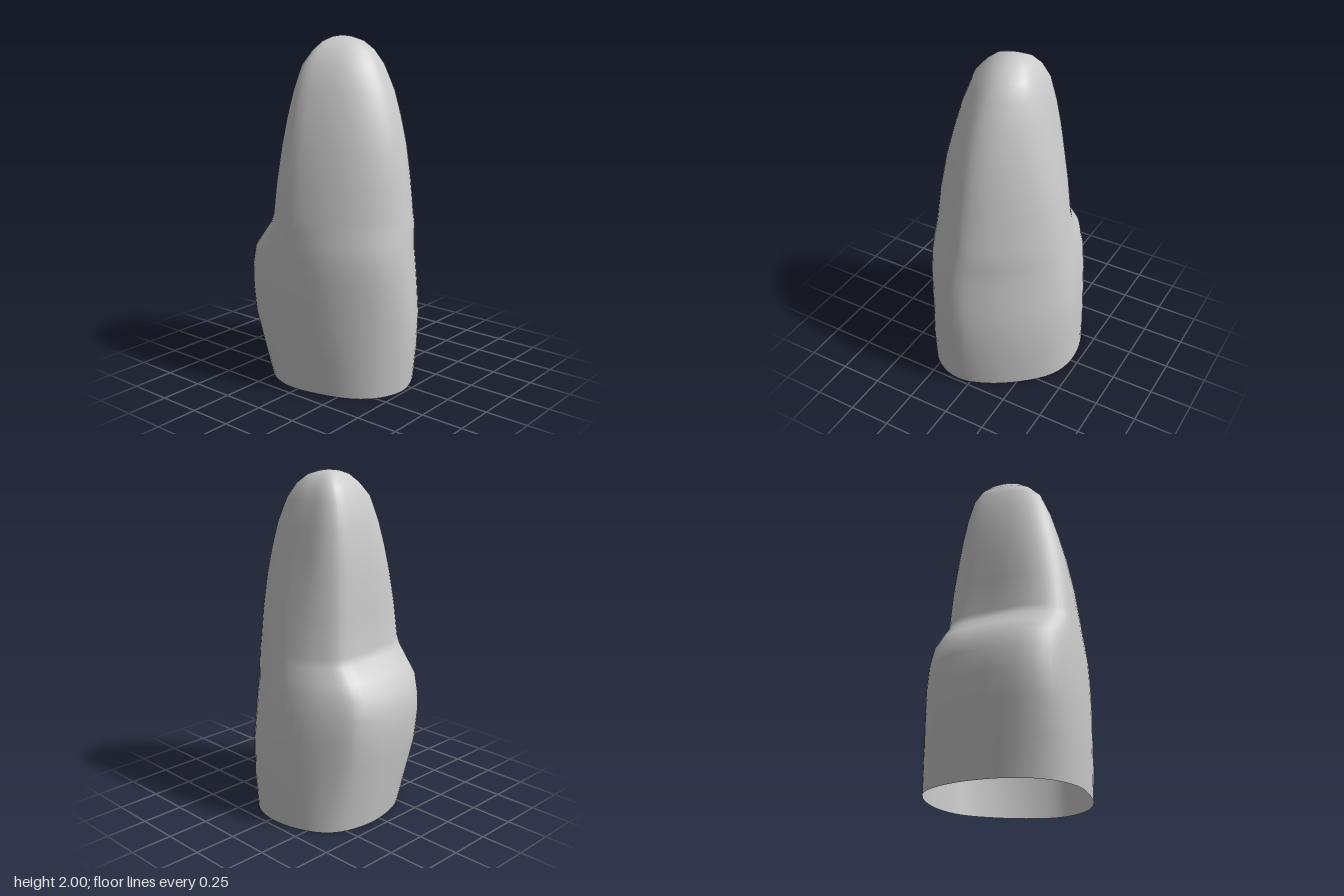
import * as THREE from 'three';

const SIDES = 60;

// Plan outlines [x, z], all in the same point order.
const OUTLINES = [
  // 0: rounded foot
  [[0.24, -0.41], [0.35, -0.34], [0.43, -0.19], [0.455, 0], [0.41, 0.16], [0.27, 0.315], [0.08, 0.44], [-0.08, 0.485],
    [-0.23, 0.44], [-0.335, 0.335], [-0.41, 0.14], [-0.435, -0.08], [-0.36, -0.26], [-0.21, -0.38], [0.04, -0.44]],
  // 1: swollen base
  [[0.25, -0.48], [0.345, -0.375], [0.43, -0.2], [0.465, 0], [0.43, 0.15], [0.28, 0.335], [0.08, 0.47], [-0.08, 0.52],
    [-0.22, 0.465], [-0.34, 0.33], [-0.43, 0.13], [-0.465, -0.14], [-0.42, -0.345], [-0.27, -0.46], [0.05, -0.52]],
  // 2: slimmer upper part with a flat back
  [[0.2, -0.32], [0.3, -0.22], [0.36, -0.1], [0.385, 0.04], [0.34, 0.18], [0.22, 0.33], [0.06, 0.44], [-0.06, 0.47],
    [-0.18, 0.42], [-0.3, 0.3], [-0.4, 0.11], [-0.44, -0.08], [-0.4, -0.2], [-0.27, -0.285], [0, -0.32]],
  // 3: rounded tip
  [[0.13, -0.215], [0.18, -0.16], [0.2, -0.06], [0.207, 0.04], [0.185, 0.125], [0.12, 0.19], [0.05, 0.22], [-0.02, 0.22],
    [-0.09, 0.185], [-0.155, 0.12], [-0.21, 0.02], [-0.242, -0.09], [-0.205, -0.145], [-0.12, -0.195], [0.02, -0.225]],
];

// Height, x range, z range, position in the sequence of outlines.
const RINGS = [
  [0, -0.435, 0.457, -0.44, 0.485, 0],
  [0.2, -0.452, 0.463, -0.47, 0.51, 0.5],
  [0.4, -0.462, 0.462, -0.5, 0.52, 1],
  [0.55, -0.465, 0.45, -0.517, 0.517, 1],
  [0.68, -0.462, 0.436, -0.515, 0.51, 1],
  [0.79, -0.457, 0.418, -0.488, 0.5, 1.08],
  [0.87, -0.45, 0.405, -0.42, 0.49, 1.4],
  [0.95, -0.445, 0.393, -0.345, 0.48, 1.9],
  [1.0, -0.44, 0.385, -0.325, 0.47, 2],
  [1.2, -0.417, 0.355, -0.315, 0.44, 2.2],
  [1.4, -0.38, 0.313, -0.302, 0.402, 2.45],
  [1.55, -0.343, 0.28, -0.287, 0.357, 2.65],
  [1.7, -0.3, 0.245, -0.263, 0.302, 2.85],
  [1.84, -0.243, 0.207, -0.225, 0.225, 3],
  [1.92, -0.17, 0.165, -0.18, 0.162, 3],
  [1.97, -0.105, 0.12, -0.13, 0.09, 3],
  [1.992, -0.04, 0.07, -0.085, 0.02, 3],
];
const APEX = [0.02, 2, -0.035];

// Smooth closed outline, scaled to a unit square.
function unitOutline(points) {
  const curve = new THREE.CatmullRomCurve3(points.map(([x, z]) => new THREE.Vector3(x, 0, z)), true);
  const samples = curve.getPoints(SIDES).slice(0, SIDES);
  const box = new THREE.Box3().setFromPoints(samples);
  const size = box.getSize(new THREE.Vector3());
  return samples.map((p) => [(p.x - box.min.x) / size.x, (p.z - box.min.z) / size.z]);
}

export function createModel() {
  const { lerp } = THREE.MathUtils;
  const outlines = OUTLINES.map(unitOutline);
  const positions = [];
  const index = [];

  // Stacked cross-sections
  for (const [y, x0, x1, z0, z1, shape] of RINGS) {
    const k = Math.min(Math.floor(shape), OUTLINES.length - 2);
    for (let i = 0; i < SIDES; i++) {
      const [u0, v0] = outlines[k][i];
      const [u1, v1] = outlines[k + 1][i];
      positions.push(lerp(x0, x1, lerp(u0, u1, shape - k)), y, lerp(z0, z1, lerp(v0, v1, shape - k)));
    }
  }
  positions.push(...APEX);

  // Side walls, open at the bottom
  for (let r = 0; r < RINGS.length - 1; r++) {
    for (let i = 0; i < SIDES; i++) {
      const a = r * SIDES + i;
      const b = r * SIDES + ((i + 1) % SIDES);
      index.push(a, a + SIDES, b, b, a + SIDES, b + SIDES);
    }
  }

  // Rounded tip
  const last = (RINGS.length - 1) * SIDES;
  for (let i = 0; i < SIDES; i++) {
    index.push(last + i, last + SIDES, last + ((i + 1) % SIDES));
  }

  const geometry = new THREE.BufferGeometry();
  geometry.setAttribute('position', new THREE.Float32BufferAttribute(positions, 3));
  geometry.setIndex(index);
  geometry.computeVertexNormals();

  const material = new THREE.MeshStandardMaterial({ color: 0xcccccc, side: THREE.DoubleSide });
  const shell = new THREE.Mesh(geometry, material);
  shell.name = 'steppedStoneShell';

  const group = new THREE.Group();
  group.name = 'standingStone';
  group.add(shell);
  return group;
}
